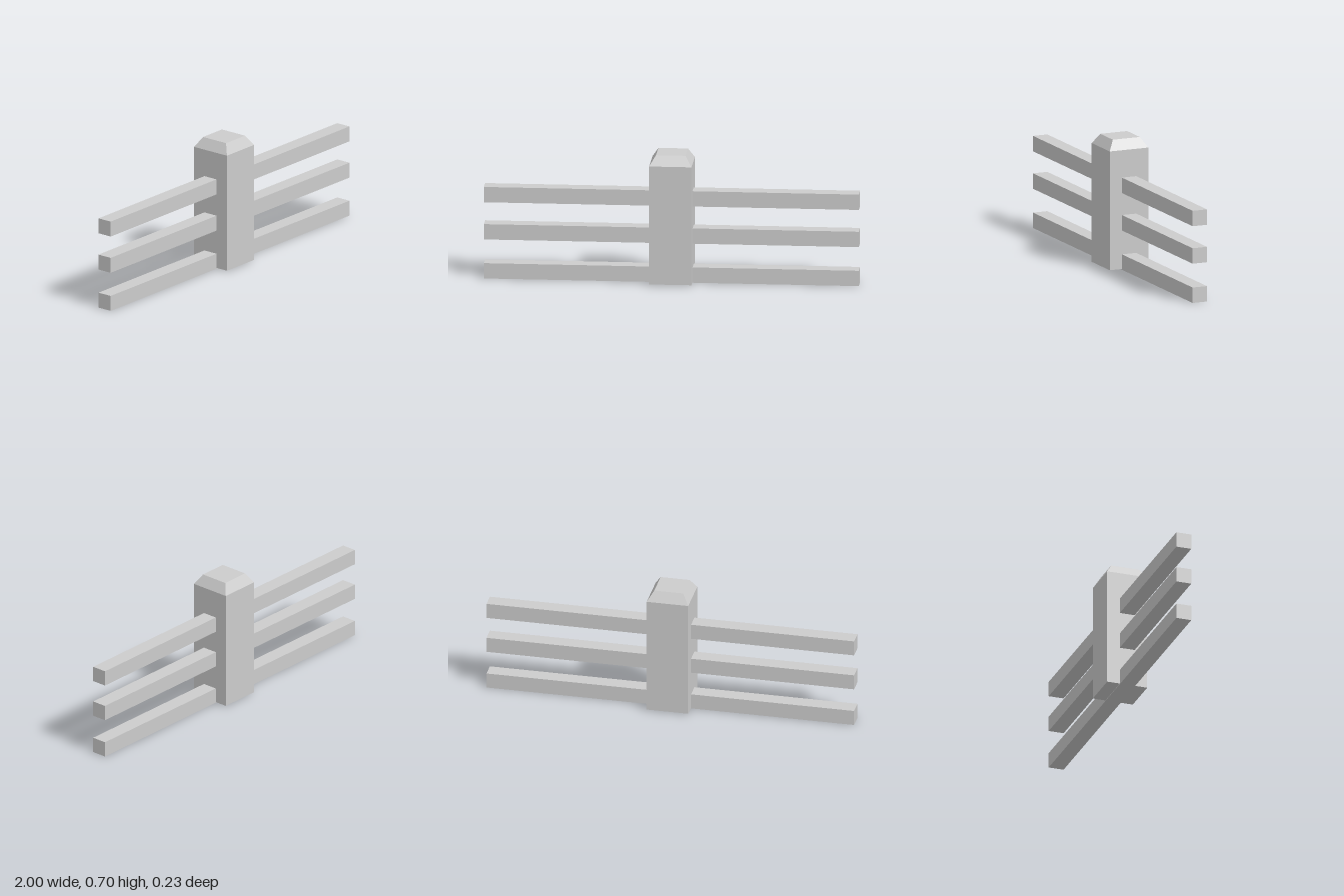
import * as THREE from 'three';

export function createModel() {
  const model = new THREE.Group();
  model.name = 'fence';

  const grey = new THREE.MeshStandardMaterial({ color: 0xcccccc });
  grey.name = 'grey';

  // Square post with a chamfered top: a four-sided lathe with flat faces
  const profile = [
    [0, 0.004], [0.113, 0.004], [0.113, 0.651], [0.079, 0.705], [0, 0.705],
  ].map(([half, y]) => new THREE.Vector2(half * Math.SQRT2, y));
  const postGeometry = new THREE.LatheGeometry(profile, 4, Math.PI / 4).toNonIndexed();
  postGeometry.computeVertexNormals();
  const post = new THREE.Mesh(postGeometry, grey);
  post.name = 'post';
  model.add(post);

  // Three level rails running through the post
  const railSize = 0.084;
  const railGeometry = new THREE.BoxGeometry(2, railSize, railSize);
  const rails = { lowerRail: 0, middleRail: 0.214, upperRail: 0.418 };
  for (const [name, bottom] of Object.entries(rails)) {
    const rail = new THREE.Mesh(railGeometry, grey);
    rail.name = name;
    rail.position.y = bottom + railSize / 2;
    model.add(rail);
  }

  return model;
}
